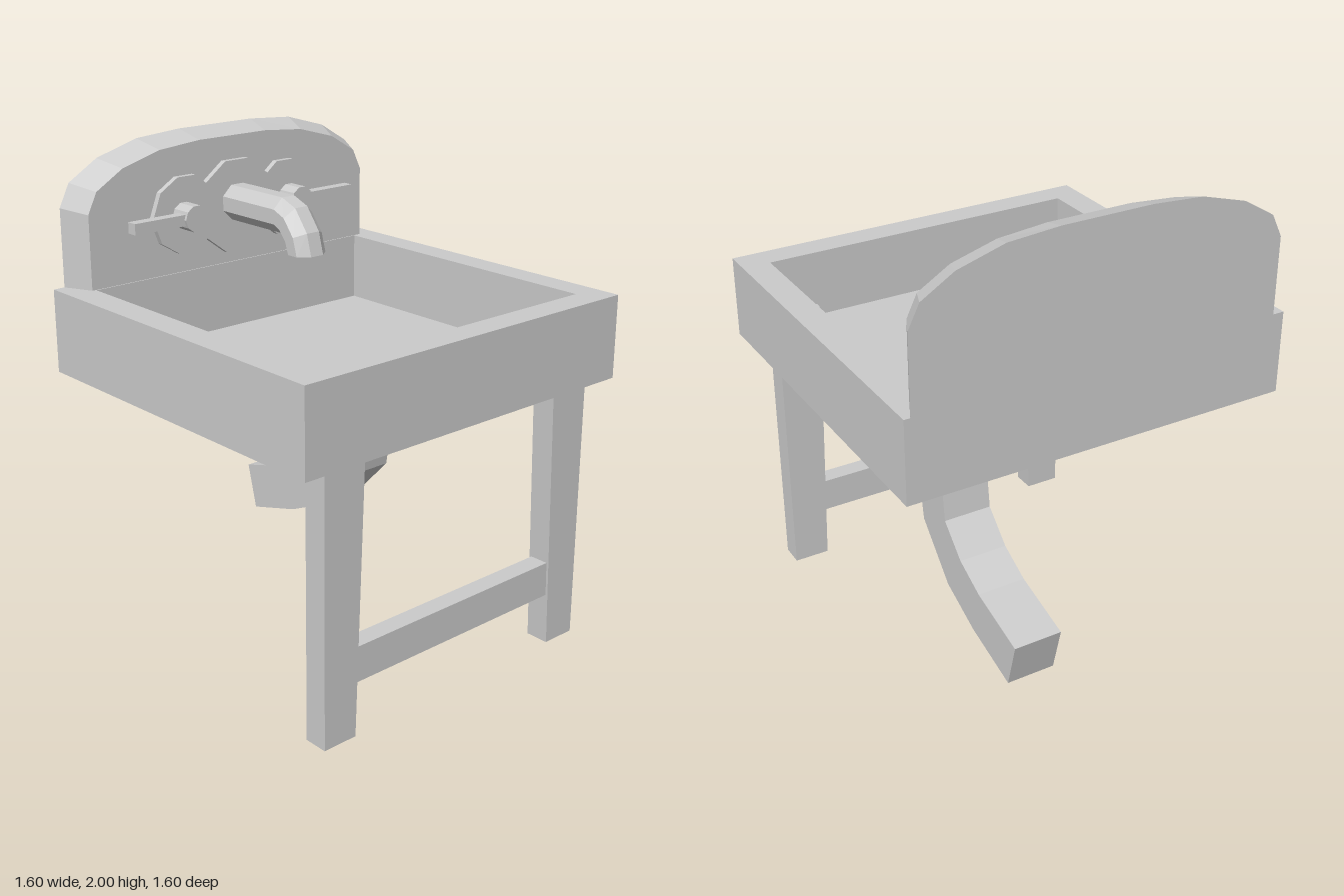
import * as THREE from 'three';

const material = new THREE.MeshStandardMaterial({ color: 0xcccccc, flatShading: true });
const MID = -0.012; // centre line of the tap assembly along z

// Solid skin through rings of [x, y, z] points, with fan caps at both ends
function loft(rings) {
  const tris = [];
  const n = rings[0].length;
  for (let i = 0; i < rings.length - 1; i++) {
    for (let j = 0; j < n; j++) {
      const k = (j + 1) % n;
      const [a, b, c, d] = [rings[i][j], rings[i][k], rings[i + 1][k], rings[i + 1][j]];
      tris.push([a, b, c], [a, c, d]);
    }
  }
  const first = rings[0], last = rings[rings.length - 1];
  for (let j = 1; j < n - 1; j++) {
    tris.push([first[0], first[j + 1], first[j]], [last[0], last[j], last[j + 1]]);
  }
  // Turn the faces outward if the signed volume is negative
  const v = (p) => new THREE.Vector3(...p);
  const volume = tris.reduce((s, [a, b, c]) => s + v(a).dot(v(b).cross(v(c))), 0);
  if (volume < 0) tris.forEach((t) => t.reverse());
  const geometry = new THREE.BufferGeometry();
  geometry.setAttribute('position', new THREE.Float32BufferAttribute(tris.flat(2), 3));
  geometry.computeVertexNormals();
  return geometry;
}

// Bent bar: stations give the [outer x, y, inner x, y] edges, section is [across -1..1, z]
function bentBar(stations, section, zMid) {
  return loft(stations.map(([ox, oy, ix, iy]) => section.map(([t, z]) => [
    (ox + ix) / 2 + (t * (ox - ix)) / 2,
    (oy + iy) / 2 + (t * (oy - iy)) / 2,
    zMid + z,
  ])));
}

function outline(points, ShapeType = THREE.Shape) {
  return new ShapeType(points.map(([x, y]) => new THREE.Vector2(x, y)));
}

export function createModel() {
  const model = new THREE.Group();
  const add = (name, geometry, x = 0, y = 0, z = 0) => {
    const mesh = new THREE.Mesh(geometry, material);
    mesh.name = name;
    mesh.position.set(x, y, z);
    model.add(mesh);
    return mesh;
  };
  const box = (name, x0, x1, y0, y1, z0, z1) => add(name,
    new THREE.BoxGeometry(x1 - x0, y1 - y0, z1 - z0), (x0 + x1) / 2, (y0 + y1) / 2, (z0 + z1) / 2);

  // Basin walls with a rectangular well, and its floor
  const rim = outline([[-0.715, -0.8], [0.795, -0.8], [0.795, 0.8], [-0.715, 0.8]]);
  rim.holes.push(outline([[-0.595, -0.68], [-0.595, 0.685], [0.68, 0.685], [0.68, -0.68]], THREE.Path));
  const walls = new THREE.ExtrudeGeometry(rim, { depth: 0.34, bevelEnabled: false });
  walls.rotateX(-Math.PI / 2);
  add('basinWalls', walls, 0, 1.1, 0);
  box('basinFloor', -0.595, 0.68, 1.1, 1.16, -0.685, 0.68);

  // Arched splashback, bevelled towards the front
  const arch = (x, half) => {
    const pts = half.map(([z, y]) => [x, y, MID + z]);
    const mirrored = half.map(([z, y]) => [x, y, MID - z]).reverse();
    return [...pts, ...mirrored];
  };
  add('splashback', loft([
    arch(-0.715, [[0.763, 1.44], [0.763, 1.757], [0.717, 1.85], [0.585, 1.93], [0.395, 1.985], [0.185, 2.0]]),
    arch(-0.6, [[0.708, 1.44], [0.708, 1.74], [0.667, 1.825], [0.542, 1.9], [0.365, 1.95], [0.17, 1.967]]),
  ]));

  // Three-lobed tap plate
  const upper = [[0.425, 0], [0.385, 0.104], [0.3, 0.156], [0.212, 0.156], [0.16, 0.115], [0.06, 0.19]];
  const top = [...upper, ...upper.map(([x, y]) => [-x, y]).reverse()];
  const lower = top.slice(1, -1).map(([x, y]) => [x, -y]).reverse();
  const plate = new THREE.ExtrudeGeometry(outline([...top, ...lower]), { depth: 0.03, bevelEnabled: false });
  plate.rotateY(Math.PI / 2);
  add('tapPlate', plate, -0.605, 1.68, MID);

  // Spout with an eight-sided section
  const octagon = Array.from({ length: 8 }, (_, i) => {
    const a = ((i + 0.5) * Math.PI) / 4;
    const r = 1 / Math.cos(Math.PI / 8);
    return [r * Math.cos(a), 0.075 * r * Math.sin(a)];
  });
  add('spout', bentBar([
    [-0.6, 1.77, -0.6, 1.625],
    [-0.25, 1.77, -0.25, 1.625],
    [-0.17, 1.74, -0.235, 1.614],
    [-0.1, 1.65, -0.215, 1.595],
    [-0.075, 1.56, -0.2, 1.56],
  ], octagon, MID));

  // Drain pipe with a square section, sweeping out to the side
  add('drainPipe', bentBar([
    [-0.25, 1.12, -0.05, 1.12],
    [-0.25, 0.81, -0.05, 0.81],
    [-0.27, 0.655, -0.092, 0.565],
    [-0.39, 0.54, -0.285, 0.365],
    [-0.53, 0.47, -0.485, 0.275],
    [-0.8, 0.395, -0.75, 0.2],
  ], [[1, 0.1], [1, -0.1], [-1, -0.1], [-1, 0.1]], -0.32));

  for (const s of [1, -1]) {
    const side = s > 0 ? 'left' : 'right';

    // Tap knob and its lever
    const knob = new THREE.CylinderGeometry(0.055, 0.055, 0.115, 10);
    knob.rotateZ(Math.PI / 2);
    add(side + 'TapKnob', knob, -0.5425, 1.68, MID + s * 0.275);
    add(side + 'TapLever', new THREE.BoxGeometry(0.046, 0.045, 0.25), -0.52, 1.679, MID + s * 0.44);

    // Leg: straight outside, tapered inside, its top poking through the basin floor
    const legRing = (y, inner) => [[0.65, inner], [0.75, inner], [0.75, 0.68], [0.65, 0.68]]
      .map(([x, z]) => [x, y, -0.005 + s * z]);
    add(side + 'Leg', loft([legRing(0, 0.53), legRing(1.21, 0.49)]));
  }

  // Stretcher between the legs
  box('legStretcher', 0.66, 0.74, 0.215, 0.36, -0.53, 0.52);

  return model;
}
